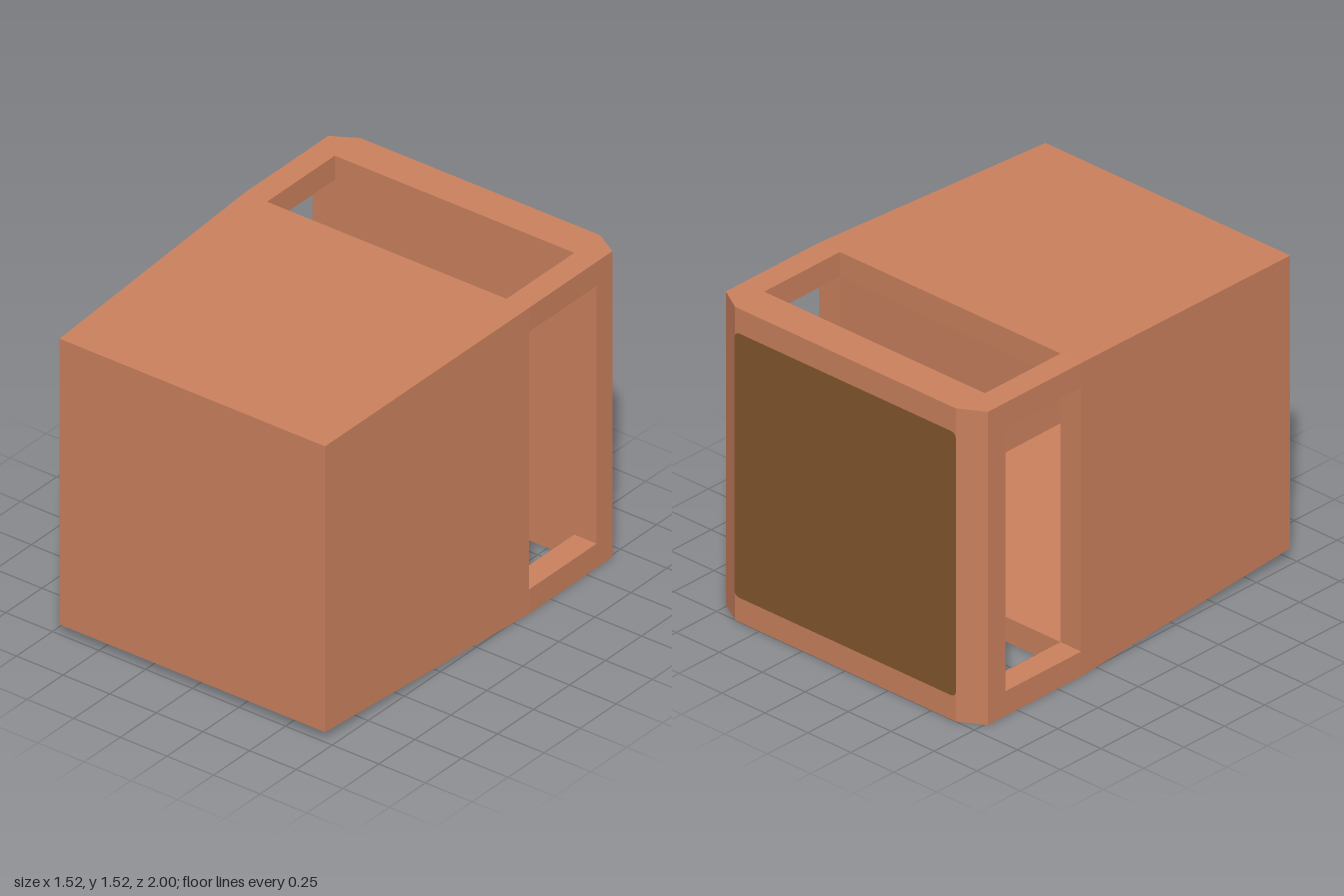
import * as THREE from 'three';

const W = 0.762, H = 1.525, MID = H / 2;  // half width, height, centre height
const WALL = 0.12, TAPER = 0.05;
const NECK = -0.35, SLAB = -0.82, BACK = -1, FRONT = 1;

const clay = new THREE.MeshStandardMaterial({ color: 0xc9805d, flatShading: true });
clay.name = 'clay orange';
const olive = new THREE.MeshStandardMaterial({ color: 0x80552d });
olive.name = 'olive brown';

// Rectangular cross-section, inset from the full outline, at depth z
function section(inset, z) {
  const x = W - inset, y = MID - inset;
  return [[-x, MID - y, z], [x, MID - y, z], [x, MID + y, z], [-x, MID + y, z]];
}

// Joins successive sections with quads and caps both ends
function loft(sections) {
  const pos = [];
  const quad = (a, b, c, d) => pos.push(...a, ...b, ...c, ...a, ...c, ...d);
  for (let s = 0; s < sections.length - 1; s++) {
    const a = sections[s], b = sections[s + 1];
    for (let i = 0; i < 4; i++) {
      const j = (i + 1) % 4;
      quad(a[i], b[i], b[j], a[j]);
    }
  }
  quad(...sections[0]);
  quad(...[...sections[sections.length - 1]].reverse());
  const g = new THREE.BufferGeometry();
  g.setAttribute('position', new THREE.Float32BufferAttribute(pos, 3));
  g.computeVertexNormals();
  return g;
}

function roundedRect(hw, hh, r) {
  const s = new THREE.Shape();
  s.moveTo(-hw + r, -hh);
  s.lineTo(hw - r, -hh);
  s.quadraticCurveTo(hw, -hh, hw, -hh + r);
  s.lineTo(hw, hh - r);
  s.quadraticCurveTo(hw, hh, hw - r, hh);
  s.lineTo(-hw + r, hh);
  s.quadraticCurveTo(-hw, hh, -hw, hh - r);
  s.lineTo(-hw, -hh + r);
  s.quadraticCurveTo(-hw, -hh, -hw + r, -hh);
  return s;
}

export function createModel() {
  const group = new THREE.Group();
  group.name = 'hollowHousing';
  const add = (geometry, material, name) => {
    const mesh = new THREE.Mesh(geometry, material);
    mesh.name = name;
    group.add(mesh);
    return mesh;
  };

  // Tapered hollow body: outside, rear rim, then inside with a thin front wall
  add(loft([
    section(TAPER, FRONT),
    section(0, NECK),
    section(WALL, NECK),
    section(WALL + TAPER, FRONT - 0.015),
  ]), clay, 'hollowBody');

  // Four corner rails leave an opening on every side
  for (const sx of [-1, 1]) {
    for (const sy of [-1, 1]) {
      const rail = add(new THREE.BoxGeometry(WALL, WALL, NECK - SLAB), clay, 'cornerRail');
      rail.position.set(sx * (W - WALL / 2), MID + sy * (MID - WALL / 2), (NECK + SLAB) / 2);
    }
  }

  // Back slab with chamfered vertical edges, drawn in plan and raised
  const plan = new THREE.Shape([
    [-W, -SLAB], [W, -SLAB], [W, 0.93], [W - WALL, -BACK], [-W + WALL, -BACK], [-W, 0.93],
  ].map(([x, y]) => new THREE.Vector2(x, y)));
  const slab = new THREE.ExtrudeGeometry(plan, { depth: H, bevelEnabled: false });
  slab.rotateX(-Math.PI / 2);
  add(slab, clay, 'backSlab');

  // Thin rounded panel on the back
  const panel = new THREE.ExtrudeGeometry(roundedRect(W - WALL, MID - WALL, 0.03),
    { depth: 0.004, bevelEnabled: false });
  add(panel, olive, 'backPanel').position.set(0, MID, BACK - 0.003);

  return group;
}
